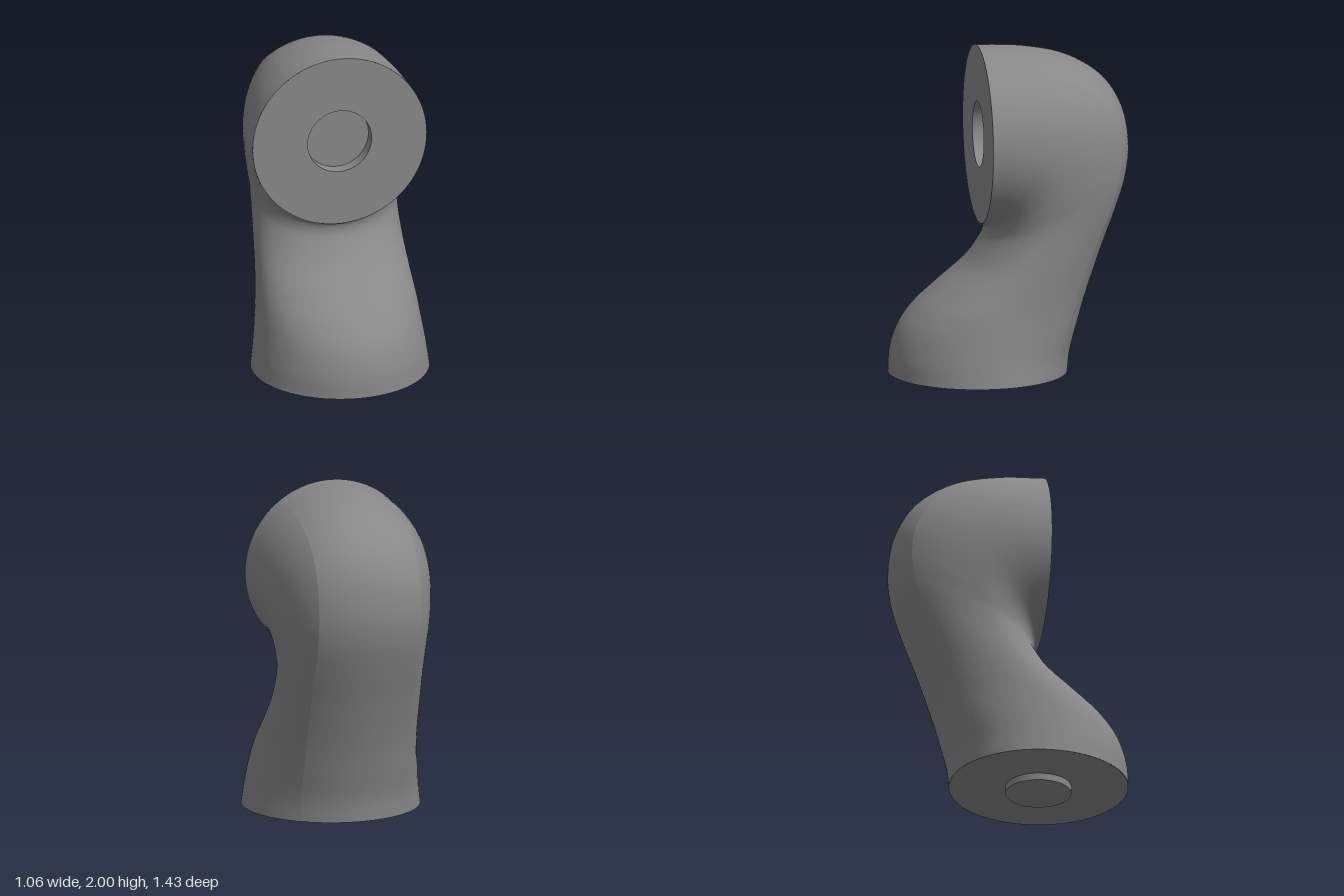
import * as THREE from 'three';

const R = 0.53, HOLE = 0.195, BASE_Y = 0.042, FACE_Z = 0.18, FACE_Y = 1.47, BASE_Z = 0.183;
const EDGE_X = 0.315;                                   // half width of the back band
const EDGE_U = R - Math.sqrt(R * R - EDGE_X * EDGE_X);  // its depth at the crease

// Stations along the bend: half width, back (z, y), inner front (z, y)
const stations = [
  [0.53, -0.347, BASE_Y, 0.715, BASE_Y],
  [0.512, -0.362, 0.17, 0.707, 0.17],
  [0.488, -0.412, 0.36, 0.66, 0.32],
  [0.473, -0.443, 0.47, 0.575, 0.437],
  [0.46, -0.475, 0.57, 0.44, 0.555],
  [0.443, -0.56, 0.82, 0.268, 0.692],
  [0.435, -0.637, 1.03, 0.19, 0.79],
  [0.438, -0.694, 1.22, 0.155, 0.85],
  [0.452, -0.712, 1.4, 0.147, 0.878],
  [0.47, -0.677, 1.61, 0.146, 0.9],
  [0.488, -0.572, 1.785, 0.148, 0.913],
  [0.508, -0.37, 1.92, 0.153, 0.925],
  [0.523, -0.1, 1.984, 0.163, 0.934],
  [0.53, FACE_Z, 2, FACE_Z, 0.94],
];
const backCurve = new THREE.CatmullRomCurve3(stations.map(s => new THREE.Vector3(s[0], s[2], s[1])));
const frontCurve = new THREE.CatmullRomCurve3(stations.map(s => new THREE.Vector3(0, s[4], s[3])));

// Section points as [x, distance from the back]
function bandPoint(s) {
  const a = (s * 2 - 1) * Math.asin(EDGE_X / R);
  return [R * Math.sin(a), R - R * Math.cos(a)];
}
// The widest point of the flanks lies further in around the bend
function flankPoint(s, w, depth, t) {
  const mid = depth * (0.5 + 0.07 * Math.sin(Math.PI * t) ** 2);
  const a0 = Math.asin(EDGE_X / w);
  const a = a0 + s * (2 * Math.PI - 2 * a0);
  const c = Math.cos(a);
  const b = c > 0 ? (mid - EDGE_U) / Math.cos(a0) : depth - mid;
  return [w * Math.sin(a), mid - b * c];
}

// Lofts one strip of the section along the bend
function loft(pointAt, across, along = 120) {
  const pos = [], index = [];
  for (let j = 0; j <= along; j++) {
    const t = j / along;
    const back = backCurve.getPoint(t), front = frontCurve.getPoint(t);
    const w = back.x;
    back.x = 0;
    const dir = front.clone().sub(back);
    const depth = dir.length();
    dir.normalize();
    for (let i = 0; i <= across; i++) {
      const [x, u] = pointAt(i / across, w, depth, t);
      pos.push(x, back.y + dir.y * u, back.z + dir.z * u);
      if (i < across && j < along) {
        const p = j * (across + 1) + i, q = p + across + 1;
        index.push(p, q, p + 1, q, q + 1, p + 1);
      }
    }
  }
  const g = new THREE.BufferGeometry();
  g.setAttribute('position', new THREE.Float32BufferAttribute(pos, 3));
  g.setIndex(index);
  g.computeVertexNormals();
  return g;
}

export function createModel() {
  const group = new THREE.Group();
  const mat = new THREE.MeshStandardMaterial({ color: 0x888888 });
  const inner = new THREE.MeshStandardMaterial({ color: 0x888888, side: THREE.DoubleSide });
  const add = (name, geometry, material = mat) => {
    const mesh = new THREE.Mesh(geometry, material);
    mesh.name = name;
    group.add(mesh);
    return mesh;
  };

  // Bent body: back band and the rounded flanks
  add('backBand', loft(bandPoint, 24));
  add('flanks', loft(flankPoint, 72));

  // Flat base with its round peg
  add('base', new THREE.CircleGeometry(R, 96).rotateX(Math.PI / 2)).position.set(0, BASE_Y, BASE_Z);
  add('peg', new THREE.CylinderGeometry(HOLE, HOLE, BASE_Y, 64)).position.set(0, BASE_Y / 2, BASE_Z);

  // Front face with a round socket
  const depth = 0.08;
  add('frontFace', new THREE.RingGeometry(HOLE, R, 96, 1)).position.set(0, FACE_Y, FACE_Z);
  add('socketWall', new THREE.CylinderGeometry(HOLE, HOLE, depth, 96, 1, true).rotateX(Math.PI / 2), inner)
    .position.set(0, FACE_Y, FACE_Z - depth / 2);
  add('socketFloor', new THREE.CircleGeometry(HOLE, 96)).position.set(0, FACE_Y, FACE_Z - depth);

  return group;
}
